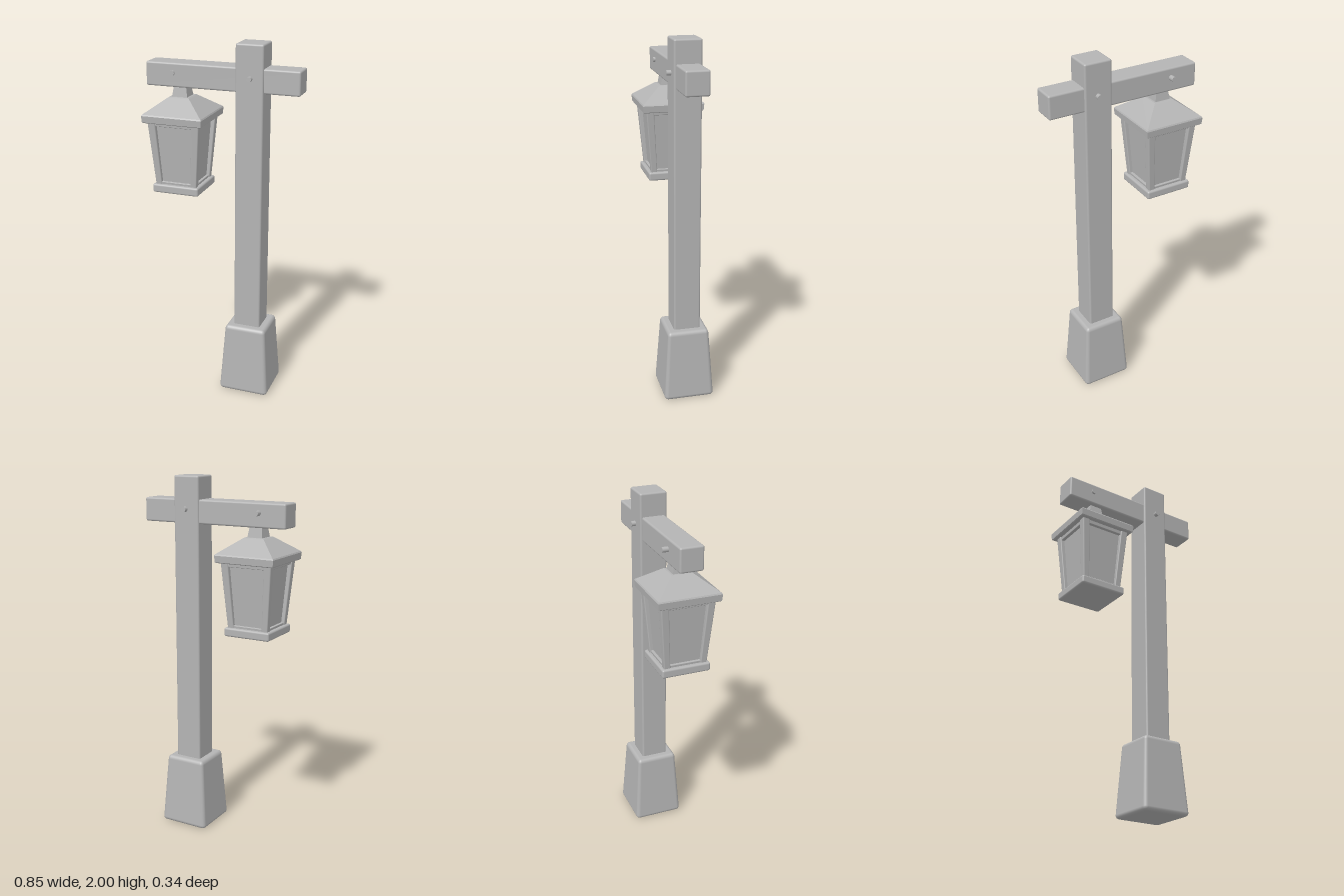
import * as THREE from 'three';
import { RoundedBoxGeometry } from 'three/addons/geometries/RoundedBoxGeometry.js';

const stone = new THREE.MeshStandardMaterial({ color: 0xb4b4b4 });
stone.name = 'plain grey';

function add(parent, name, geometry) {
  const mesh = new THREE.Mesh(geometry, stone);
  mesh.name = name;
  parent.add(mesh);
  return mesh;
}

// Rounded box given by its limits on each axis
function block([x0, x1], [y0, y1], [z0, z1], radius) {
  const g = new RoundedBoxGeometry(x1 - x0, y1 - y0, z1 - z0, 3, radius);
  return g.translate((x0 + x1) / 2, (y0 + y1) / 2, (z0 + z1) / 2);
}

// Scale x and z about the y axis, from 1 at y0 to topScale at y1
function taper(g, y0, y1, topScale) {
  const p = g.attributes.position, n = g.attributes.normal;
  const slope = (topScale - 1) / (y1 - y0);
  for (let i = 0; i < p.count; i++) {
    const x = p.getX(i), y = p.getY(i), z = p.getZ(i);
    const s = 1 + slope * (y - y0);
    const v = new THREE.Vector3(
      n.getX(i) / s,
      n.getY(i) - (n.getX(i) * x + n.getZ(i) * z) * slope / s,
      n.getZ(i) / s
    ).normalize();
    p.setXYZ(i, x * s, y, z * s);
    n.setXYZ(i, v.x, v.y, v.z);
  }
  return g;
}

// Square stack of [half width, height] sections with crisp faces
function squareStack(sections) {
  const points = sections.map(([h, y]) => new THREE.Vector2(h * Math.SQRT2, y));
  const g = new THREE.LatheGeometry(points, 4, Math.PI / 4).toNonIndexed();
  g.computeVertexNormals();
  return g;
}

function createLantern() {
  const lantern = new THREE.Group();
  lantern.name = 'lantern';
  const y0 = 1.205, y1 = 1.57, widen = 1.26;
  const half = 0.117, bar = 0.034;
  const tapered = (g) => taper(g, y0, y1, widen);

  // Foot plate, hipped roof and hanging neck
  add(lantern, 'lanternFoot', block([-0.133, 0.133], [1.17, 1.217], [-0.133, 0.133], 0.01));
  add(lantern, 'lanternRoof', squareStack([
    [0, 1.565], [0.163, 1.565], [0.168, 1.569], [0.171, 1.604],
    [0.167, 1.611], [0.062, 1.688], [0.054, 1.693], [0, 1.693],
  ]));
  add(lantern, 'lanternNeck', squareStack([[0.045, 1.685], [0.034, 1.755]]));

  // Glass core
  add(lantern, 'lanternGlass', tapered(block([-0.098, 0.098], [y0, y1], [-0.098, 0.098], 0.002)));

  // Corner bars
  for (const sx of [-1, 1]) {
    for (const sz of [-1, 1]) {
      const cx = sx * (half - bar / 2), cz = sz * (half - bar / 2);
      add(lantern, 'lanternCornerBar', tapered(block(
        [cx - bar / 2, cx + bar / 2], [y0, y1], [cz - bar / 2, cz + bar / 2], 0.005)));
    }
  }

  // Thin rails above and below each pane
  const reach = half - bar + 0.005;
  for (const [a, b] of [[y0, 1.23], [1.545, y1]]) {
    for (const s of [-1, 1]) {
      const span = s > 0 ? [0.09, 0.112] : [-0.112, -0.09];
      add(lantern, 'lanternRail', tapered(block([-reach, reach], [a, b], span, 0.003)));
      add(lantern, 'lanternRail', tapered(block(span, [a, b], [-reach, reach], 0.003)));
    }
  }
  lantern.position.set(-0.243, 0, 0);
  return lantern;
}

export function createModel() {
  const model = new THREE.Group();
  model.name = 'lampPost';

  // Footing, post and cross beam
  const footing = taper(block([-0.144, 0.144], [0, 0.405], [-0.141, 0.141], 0.022), 0, 0.405, 0.81);
  add(model, 'footing', footing).position.set(0.157, 0, -0.002);
  add(model, 'post', block([0.08, 0.232], [0.36, 2], [-0.077, 0.071], 0.01));
  add(model, 'crossBeam', block([-0.428, 0.425], [1.747, 1.876], [-0.067, 0.06], 0.01));

  // Pegs through the joints
  for (const [x, z0, z1] of [[0.16, -0.1, 0.095], [-0.275, -0.1, 0.072]]) {
    const peg = new THREE.CylinderGeometry(0.014, 0.014, z1 - z0, 12).rotateX(Math.PI / 2);
    add(model, 'peg', peg).position.set(x, 1.823, (z0 + z1) / 2);
  }

  model.add(createLantern());
  return model;
}
